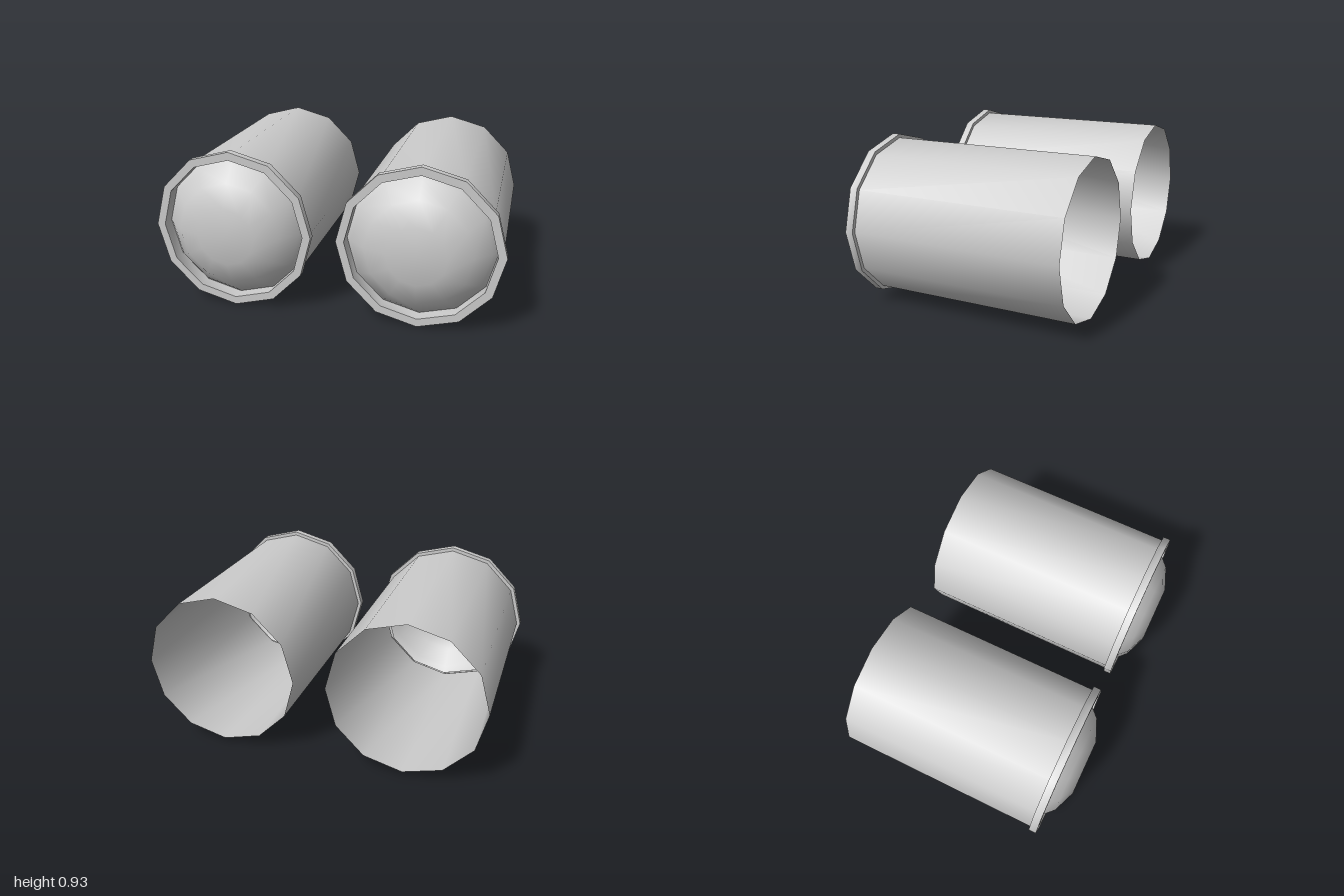
import * as THREE from 'three';
import { toCreasedNormals } from 'three/addons/utils/BufferGeometryUtils.js';

const SIDES = 12;
const RIM_RADIUS = 0.464;

// Twelve-sided turned shape along z, from [radius, z] pairs
function turned(name, profile, material) {
  const points = profile.map(([r, z]) => new THREE.Vector2(r, z));
  const geometry = new THREE.LatheGeometry(points, SIDES).rotateX(Math.PI / 2);
  const mesh = new THREE.Mesh(toCreasedNormals(geometry, Math.PI / 4), material);
  mesh.name = name;
  return mesh;
}

function createLamp(name, material) {
  const lamp = new THREE.Group();
  lamp.name = name;

  // Thin housing, open at the back
  lamp.add(turned('housing', [[0.443, -0.667], [0.443, 0.525]], material));

  // Raised rim with an inner wall leading down to the lens
  lamp.add(turned('rim', [
    [0.443, 0.525], [RIM_RADIUS, 0.525], [RIM_RADIUS, 0.57], [0.417, 0.57], [0.417, 0.49],
  ], material));

  // Domed lens
  lamp.add(turned('lens', [
    [0.417, 0.49], [0.385, 0.53], [0.298, 0.615], [0.168, 0.667], [0, 0.667],
  ], material));

  return lamp;
}

export function createModel() {
  const model = new THREE.Group();
  model.name = 'twinLamps';
  const material = new THREE.MeshStandardMaterial({ color: 0xcccccc, side: THREE.DoubleSide });

  // Matching pair, side by side
  for (const [name, side] of [['leftLamp', 1], ['rightLamp', -1]]) {
    const lamp = createLamp(name, material);
    lamp.position.set(side * (1 - RIM_RADIUS), RIM_RADIUS, 0);
    model.add(lamp);
  }
  return model;
}
